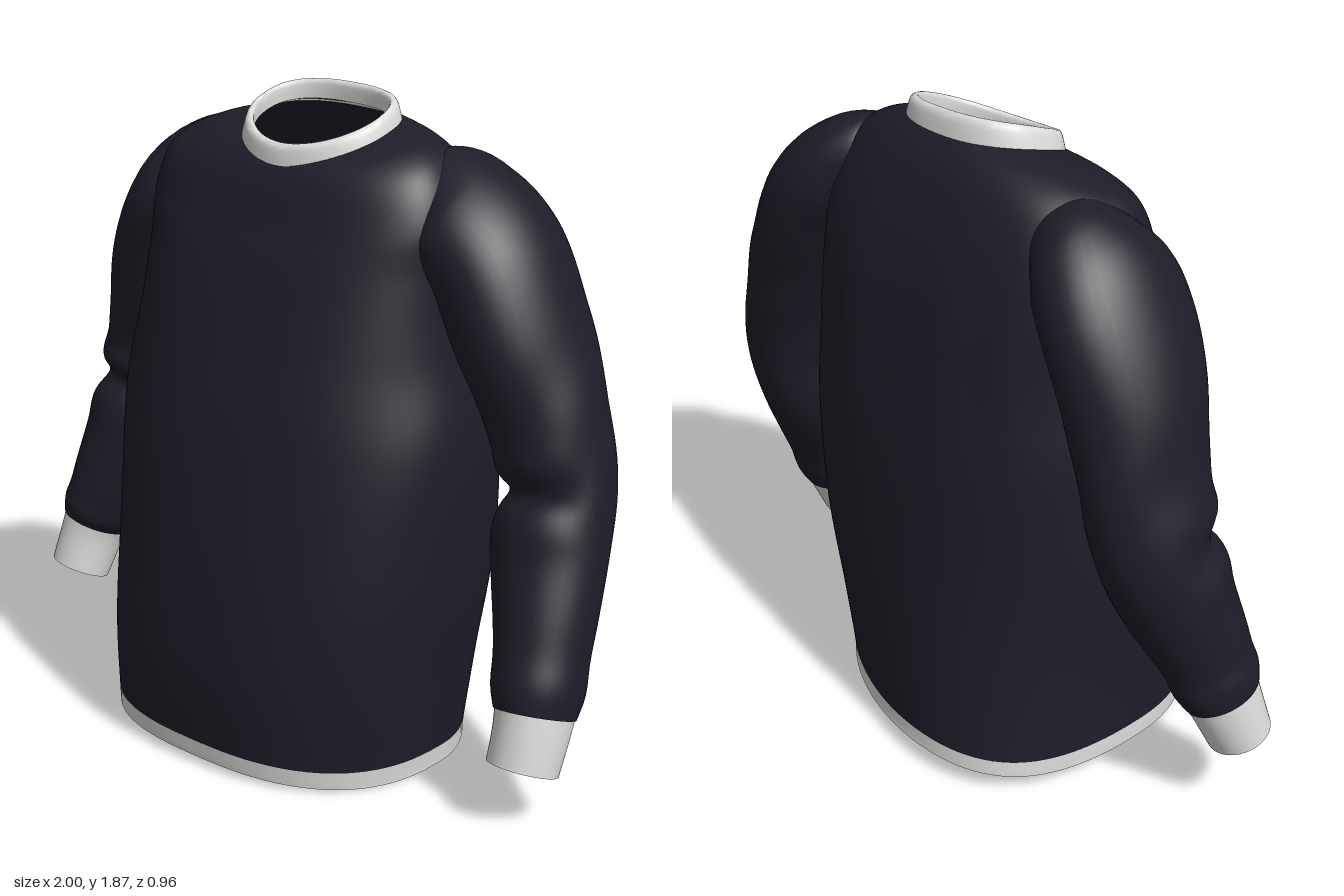
import * as THREE from 'three';
import { toCreasedNormals } from 'three/addons/utils/BufferGeometryUtils.js';

const navy = new THREE.MeshStandardMaterial({ color: 0x1d1d29, side: THREE.DoubleSide });
navy.name = 'navy cloth';
const white = new THREE.MeshStandardMaterial({ color: 0xdcdcda, side: THREE.DoubleSide });
white.name = 'white ribbing';

// Smooth interpolation between table rows, t counted in rows
function sample(rows, t) {
  const last = rows.length - 1;
  const i = Math.max(0, Math.min(last - 1, Math.floor(t)));
  const f = t - i;
  const at = (k) => rows[Math.max(0, Math.min(last, k))];
  return rows[i].map((p1, c) => {
    const p0 = at(i - 1)[c], p2 = at(i + 1)[c], p3 = at(i + 2)[c];
    const m1 = (p2 - p0) / 2, m2 = (p3 - p1) / 2;
    return p1 + f * (m1 + f * (3 * (p2 - p1) - 2 * m1 - m2 + f * (2 * (p1 - p2) + m1 + m2)));
  });
}

// Closed rings point(t, angle) skinned into an open tube
function loft(name, material, point, t0, t1, steps, sides, crease) {
  const pos = [], index = [];
  for (let i = 0; i <= steps; i++) {
    for (let j = 0; j < sides; j++) {
      pos.push(...point(t0 + (t1 - t0) * i / steps, j / sides * Math.PI * 2));
      if (i === steps) continue;
      const a = i * sides + j, b = i * sides + (j + 1) % sides;
      index.push(a, a + sides, b, b, a + sides, b + sides);
    }
  }
  let geo = new THREE.BufferGeometry();
  geo.setAttribute('position', new THREE.Float32BufferAttribute(pos, 3));
  geo.setIndex(index);
  geo.computeVertexNormals();
  if (crease) geo = toCreasedNormals(geo, crease);
  const mesh = new THREE.Mesh(geo, material);
  mesh.name = name;
  return mesh;
}

const bump = (x, centre, width) => Math.exp(-(((x - centre) / width) ** 2));
const power = (v, e) => Math.sign(v) * Math.abs(v) ** e;

// Body ring: right x, left x, front z, back z, height at front, side, back,
// back skew, squareness of front and back
function bodyPoint(rows, tilt, folds) {
  return (t, a) => {
    const [x0, x1, zF, zB, yF, yS, yB, skew, eF, eB] = sample(rows, t);
    const e = Math.sin(a) > 0 ? eF : eB;
    const c = power(Math.cos(a), e), s = power(Math.sin(a), e);
    const y = yS + (yF - yB) / 2 * s + ((yF + yB) / 2 - yS) * s * s;
    // soft drapery around the chest and vertical pleats at the back
    let k = 1;
    if (folds) {
      k += 0.008 * Math.sin(5 * a + 7 * y) * bump(y, 1.05, 0.25);
      k += 0.006 * Math.sin(3 * a - 4 * y) * bump(y, 0.6, 0.25);
      if (s < 0) k += 0.01 * Math.cos(14 * a) * bump(y, 1.3, 0.25) * s * s;
    }
    const x = (x0 + x1) / 2 + (x1 - x0) / 2 * c * k - (s < 0 ? skew * s * s : 0);
    return [x, y - tilt * x, (s > 0 ? zF : -zB) * s * k];
  };
}

// Sleeve ring: centre x, y, z, radius across, radius in depth
function sleevePoint(rows, inner, folds) {
  return (t, a) => {
    const p = sample(rows, t);
    const hi = sample(rows, Math.min(t + 0.05, rows.length - 1));
    const lo = sample(rows, Math.max(t - 0.05, 0));
    const T = new THREE.Vector3(hi[0] - lo[0], hi[1] - lo[1], hi[2] - lo[2]).normalize();
    const U = new THREE.Vector3(1, 0, 0).addScaledVector(T, -T.x).normalize();
    const V = new THREE.Vector3().crossVectors(U, T);
    // gathered cloth above the cuff, one deep crease inside the elbow
    let k = 1;
    if (folds) {
      const front = Math.max(0, Math.cos(a - inner));
      k += 0.1 * bump(t, 1.3, 0.3);
      k += front * (0.1 * bump(t, 4.35, 0.3) - 0.14 * bump(t, 3.8, 0.25) + 0.05 * bump(t, 3.2, 0.3));
      k += 0.015 * Math.sin(3 * a + 4 * t) * bump(t, 5, 0.8);
    }
    return new THREE.Vector3(p[0], p[1], p[2])
      .addScaledVector(U, Math.cos(a) * p[3] * k)
      .addScaledVector(V, Math.sin(a) * p[4] * k).toArray();
  };
}

const body = [
  [-0.55, 0.505, 0.46, -0.48, 0.025, 0.02, 0.055, 0.16, 0.78, 0.97],
  [-0.55, 0.51, 0.465, -0.475, 0.075, 0.075, 0.10, 0.16, 0.78, 0.97],
  [-0.55, 0.54, 0.48, -0.46, 0.3, 0.3, 0.3, 0.12, 0.79, 0.93],
  [-0.555, 0.58, 0.46, -0.445, 0.6, 0.6, 0.6, 0.07, 0.82, 0.88],
  [-0.555, 0.58, 0.415, -0.42, 0.95, 0.95, 0.95, 0.03, 0.85, 0.8],
  [-0.52, 0.54, 0.36, -0.39, 1.2, 1.2, 1.2, 0, 0.86, 0.72],
  [-0.5, 0.52, 0.3, -0.36, 1.42, 1.42, 1.42, 0, 0.86, 0.68],
  [-0.5, 0.52, 0.255, -0.32, 1.53, 1.57, 1.57, 0, 0.86, 0.7],
  [-0.45, 0.47, 0.22, -0.27, 1.62, 1.69, 1.69, 0, 0.86, 0.74],
  [-0.33, 0.39, 0.195, -0.225, 1.67, 1.75, 1.765, 0, 0.92, 0.8],
  [-0.17, 0.27, 0.172, -0.17, 1.70, 1.775, 1.815, 0, 1.04, 0.82],
];

const collar = [
  [-0.187, 0.285, 0.187, -0.182, 1.685, 1.765, 1.80, 0, 1.04, 0.82],
  [-0.17, 0.27, 0.18, -0.168, 1.735, 1.815, 1.862, 0, 1.04, 0.82],
  [-0.152, 0.252, 0.158, -0.145, 1.74, 1.82, 1.865, 0, 1.04, 0.82],
  [-0.152, 0.252, 0.154, -0.145, 1.70, 1.775, 1.815, 0, 1.04, 0.82],
];

const sleeves = {
  right: [
    [-0.91, 0.26, 0.05, 0.092, 0.092],
    [-0.88, 0.41, 0.0, 0.1, 0.11],
    [-0.825, 0.55, -0.03, 0.135, 0.135],
    [-0.768, 0.73, -0.09, 0.16, 0.16],
    [-0.735, 0.9, -0.14, 0.152, 0.175],
    [-0.69, 1.08, -0.14, 0.148, 0.195],
    [-0.63, 1.28, -0.12, 0.158, 0.22],
    [-0.55, 1.45, -0.105, 0.155, 0.235],
    [-0.46, 1.56, -0.09, 0.155, 0.215],
    [-0.35, 1.6, -0.07, 0.135, 0.16],
  ],
  left: [
    [0.88, 0.16, 0.145, 0.098, 0.1],
    [0.88, 0.3, 0.095, 0.105, 0.115],
    [0.85, 0.5, 0.02, 0.135, 0.138],
    [0.808, 0.7, -0.06, 0.16, 0.152],
    [0.80, 0.88, -0.11, 0.15, 0.155],
    [0.745, 1.08, -0.11, 0.155, 0.19],
    [0.665, 1.28, -0.1, 0.163, 0.225],
    [0.58, 1.45, -0.105, 0.165, 0.23],
    [0.475, 1.55, -0.095, 0.155, 0.215],
    [0.36, 1.585, -0.075, 0.135, 0.16],
  ],
};

export function createModel() {
  const model = new THREE.Group();
  model.name = 'sweater';

  // Torso, hem band and collar
  model.add(loft('torso', navy, bodyPoint(body, 0.03, true), 1, body.length - 1, 72, 96));
  model.add(loft('hemBand', white, bodyPoint(body, 0.03, false), 0, 1, 3, 96));
  model.add(loft('collar', white, bodyPoint(collar, 0.06, false), 0, 3, 12, 64, 0.9));

  // Sleeves and cuffs
  for (const [side, rows] of Object.entries(sleeves)) {
    const inner = side === 'left' ? Math.PI * 0.65 : Math.PI * 0.6;
    const sleeve = new THREE.Group();
    sleeve.name = side + 'Sleeve';
    sleeve.add(loft(side + 'Arm', navy, sleevePoint(rows, inner, true), 1, rows.length - 1, 72, 40));
    sleeve.add(loft(side + 'Cuff', white, sleevePoint(rows, inner, false), 0, 1.08, 5, 40));
    model.add(sleeve);
  }
  return model;
}
